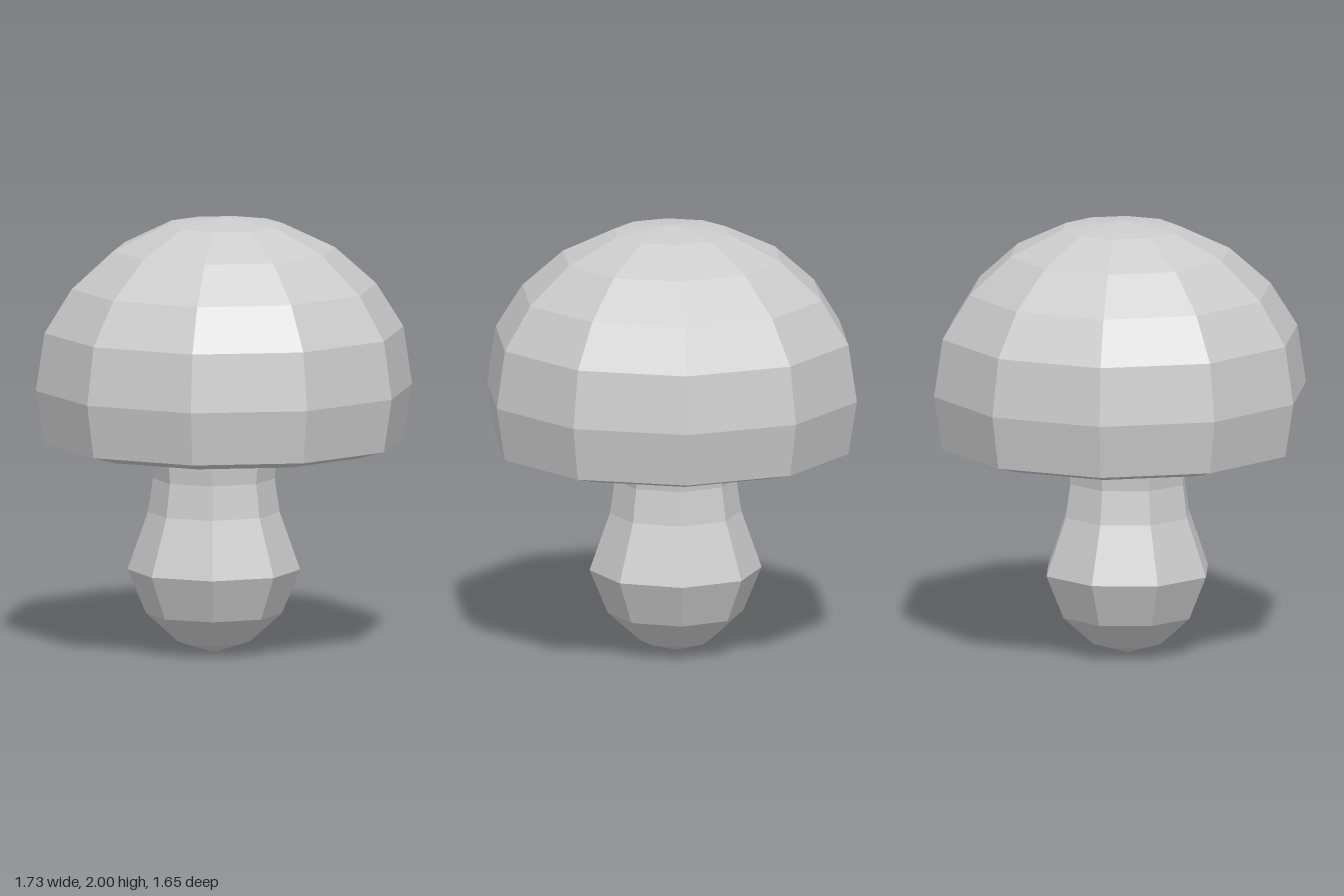
import * as THREE from 'three';

const material = new THREE.MeshStandardMaterial({ color: 0xcccccc, flatShading: true });

// Faceted solid of revolution; profile is [radius, height], with a corner on the x axis
function turned(name, profile, sides) {
  const points = profile.map(([r, y]) => new THREE.Vector2(r, y));
  const mesh = new THREE.Mesh(new THREE.LatheGeometry(points, sides, Math.PI / 2), material);
  mesh.name = name;
  return mesh;
}

export function createModel() {
  const group = new THREE.Group();
  group.name = 'mushroom';

  // Cap: hollow underside, rolled rim, then the dome
  const cap = turned('cap', [
    [0, 1.14], [0.31, 1.08], [0.51, 0.965], [0.7, 0.935], [0.825, 0.97],
    [0.865, 1.215], [0.825, 1.48], [0.7, 1.68], [0.51, 1.85], [0.27, 1.965], [0, 2],
  ], 10);

  // Stem: bulbous base, narrow waist, slight flare under the cap
  const stem = turned('stem', [
    [0, 0], [0.165, 0.05], [0.31, 0.18], [0.393, 0.38],
    [0.3, 0.645], [0.277, 0.8], [0.3, 1.04], [0.2, 1.13], [0, 1.16],
  ], 8);
  stem.position.set(-0.045, 0, -0.02);

  group.add(cap, stem);
  return group;
}
